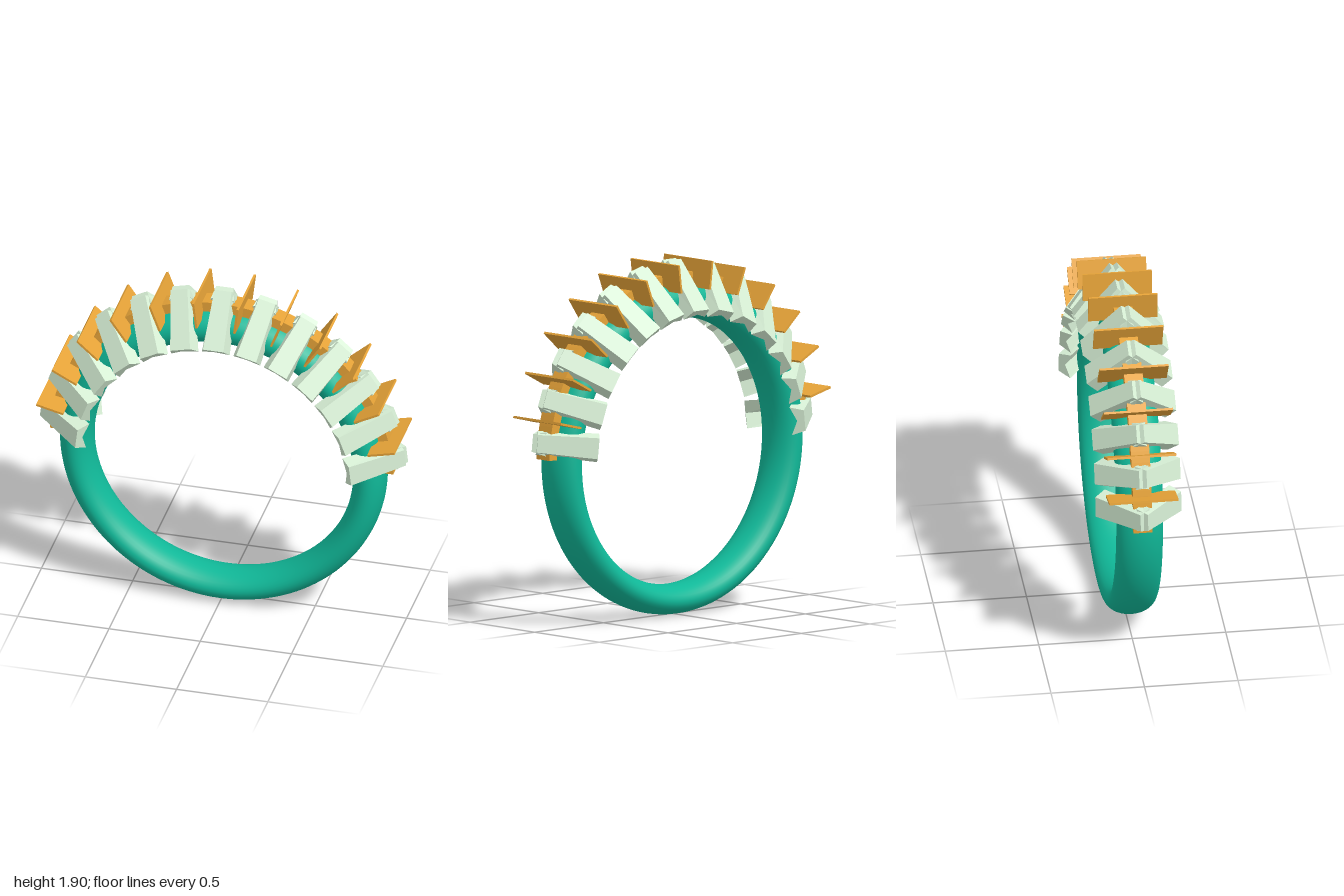
import * as THREE from 'three';
import { mergeVertices } from 'three/addons/utils/BufferGeometryUtils.js';

const CENTER_Y = 0.893;
const STEP = THREE.MathUtils.degToRad(13.87);
const teal = new THREE.MeshStandardMaterial({ color: 0x10b898 });
const gold = new THREE.MeshStandardMaterial({ color: 0xe6a338 });
const pale = new THREE.MeshStandardMaterial({ color: 0xd6eed4 });

function part(name, geometry, material) {
  const mesh = new THREE.Mesh(geometry, material);
  mesh.name = name;
  return mesh;
}

// Oval-section hoop, slightly thicker towards the top
function hoopGeometry() {
  let g = new THREE.TorusGeometry(1, 0.1, 32, 128);
  g.deleteAttribute('uv');
  g.deleteAttribute('normal');
  const p = g.attributes.position;
  for (let i = 0; i < p.count; i++) {
    const x = p.getX(i), y = p.getY(i);
    const t = Math.atan2(y, x);
    const across = (Math.hypot(x, y) - 1) / 0.1;
    const half = 0.09 + 0.01 * Math.sin(t);
    const r = 0.893 - half + half * across;
    p.setXYZ(i, r * Math.cos(t), r * Math.sin(t), p.getZ(i) * 1.25);
  }
  g = mergeVertices(g, 1e-5);
  g.computeVertexNormals();
  return g;
}

// Flat strip bent along the upper half of the hoop
function stripGeometry() {
  const end = 0.025;
  const s = new THREE.Shape();
  s.absarc(0, 0, 0.94, end, Math.PI - end, false);
  s.absarc(0, 0, 0.87, Math.PI - end, end, true);
  const g = new THREE.ExtrudeGeometry(s, { depth: 0.1, bevelEnabled: false, curveSegments: 48 });
  return g.translate(0, 0, -0.05);
}

// Bar with a notched underside, flaring towards its lower end
function barGeometry() {
  const length = 0.3265;
  const s = new THREE.Shape([
    [-0.05, 0], [-0.068, -0.075], [0, -0.04], [0.068, -0.075], [0.05, 0],
  ].map(([x, y]) => new THREE.Vector2(x, y)));
  const g = new THREE.ExtrudeGeometry(s, { depth: length, bevelEnabled: false });
  const p = g.attributes.position;
  for (let i = 0; i < p.count; i++) {
    p.setX(i, p.getX(i) * (0.94 + 0.18 * p.getZ(i) / length));
  }
  g.computeVertexNormals();
  g.rotateX(THREE.MathUtils.degToRad(50));
  return g.translate(0, 1.005, 0.02);
}

export function createModel() {
  const model = new THREE.Group();
  model.name = 'ring';
  const body = new THREE.Group();
  body.name = 'ringBody';
  body.position.y = CENTER_Y;
  model.add(body);

  body.add(part('hoop', hoopGeometry(), teal));
  body.add(part('topStrip', stripGeometry(), gold));

  // Pairs of crossing bars straddling the hoop
  const bar = barGeometry();
  for (let k = -6; k <= 6; k++) {
    const saddle = new THREE.Group();
    saddle.name = 'saddle';
    const front = part('frontBar', bar, pale);
    const back = part('backBar', bar, pale);
    back.rotation.y = Math.PI;
    saddle.add(front, back);
    saddle.rotation.z = k * STEP;
    body.add(saddle);
  }

  // Thin upright plates between the saddles
  const plate = new THREE.BoxGeometry(0.012, 0.152, 0.37).translate(0, 0.934, 0);
  for (let k = -6; k < 6; k++) {
    const fin = part('finPlate', plate, gold);
    fin.rotation.z = (k + 0.5) * STEP;
    body.add(fin);
  }
  return model;
}
